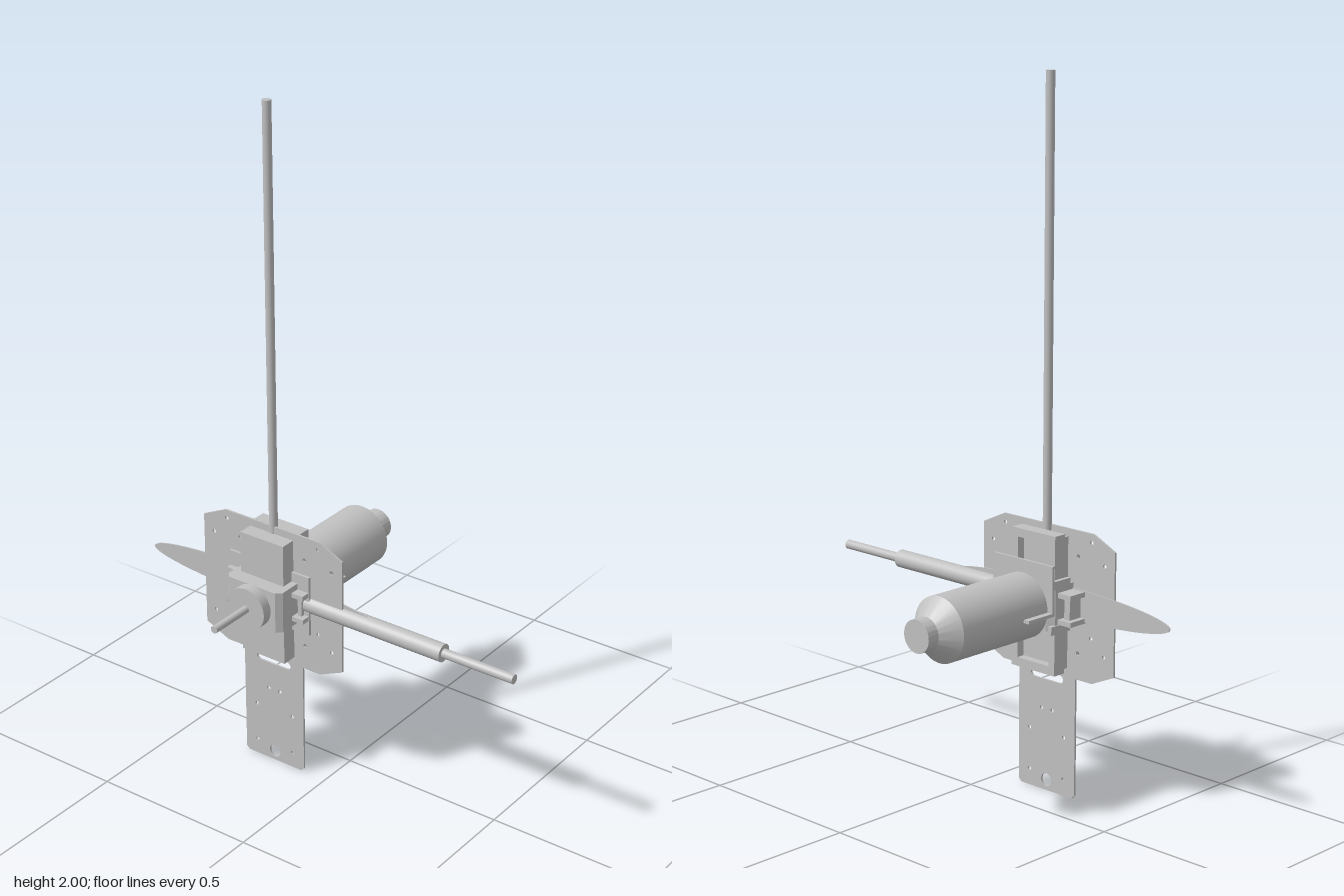
import * as THREE from 'three';
import { toCreasedNormals } from 'three/addons/utils/BufferGeometryUtils.js';

const CX = -0.18, CY = 0.562, CZ = 0.115;

export function createModel() {
  const model = new THREE.Group();
  const grey = new THREE.MeshStandardMaterial({ color: 0xc0c0c0 });
  grey.name = 'plain grey';

  const add = (name, geo, x = 0, y = 0, z = 0) => {
    const m = new THREE.Mesh(geo, grey);
    m.name = name;
    m.position.set(x, y, z);
    model.add(m);
    return m;
  };
  // box given by its limits on each axis
  const box = (name, x0, x1, y0, y1, z0, z1) =>
    add(name, new THREE.BoxGeometry(x1 - x0, y1 - y0, z1 - z0),
      (x0 + x1) / 2, (y0 + y1) / 2, (z0 + z1) / 2);
  const poly = (pts) => new THREE.Shape(pts.map(([x, y]) => new THREE.Vector2(x, y)));
  const hole = (shape, x, y, r) => {
    const p = new THREE.Path();
    p.absarc(x, y, r, 0, Math.PI * 2, true);
    shape.holes.push(p);
  };
  const extrude = (shape, depth) =>
    new THREE.ExtrudeGeometry(shape, { depth, bevelEnabled: false, curveSegments: 10 });
  const rect = (x0, x1, y0, y1) => [[x0, y0], [x1, y0], [x1, y1], [x0, y1]];

  // Main plate with chamfered corners and a tail, drawn about its centre line
  const half = [[0.095, 0], [0.105, 0.01], [0.105, 0.35], [0.165, 0.35],
    [0.243, 0.385], [0.243, 0.735], [0.165, 0.772]];
  const plate = poly([...half, ...half.map(([x, y]) => [-x, y]).reverse()]);
  for (const s of [-1, 1]) {
    for (const [x, y] of [[0.16, 0.747], [0.207, 0.69], [0.113, 0.7], [0.207, 0.435],
      [0.16, 0.477], [0.113, 0.425], [0.02, 0.238], [0.064, 0.17], [0.064, 0.048]]) {
      hole(plate, s * x, y, 0.006);
    }
  }
  hole(plate, 0, 0.03, 0.019);
  const slot = new THREE.Path();
  slot.absarc(0.048, 0.336, 0.012, -Math.PI / 2, Math.PI / 2, false);
  slot.absarc(-0.048, 0.336, 0.012, Math.PI / 2, Math.PI * 1.5, false);
  plate.holes.push(slot);
  add('mainPlate', extrude(plate, 0.006), CX, 0, 0.118);

  // Thin blade
  const blade = new THREE.Shape();
  blade.absellipse(0, 0, 0.41, 0.046, 0, Math.PI * 2);
  add('blade', toCreasedNormals(new THREE.ExtrudeGeometry(blade,
    { depth: 0.004, bevelEnabled: false, curveSegments: 32 }), 0.6), -0.21, 0.565, 0.113);

  // Mast and side arm
  add('mast', new THREE.CylinderGeometry(0.0125, 0.0125, 1.27, 24), CX, 1.365, CZ);
  const arm = (name, r, x0, x1) =>
    add(name, new THREE.CylinderGeometry(r, r, x1 - x0, 28).rotateZ(Math.PI / 2),
      (x0 + x1) / 2, CY, 0.113);
  arm('armSleeve', 0.026, -0.08, 0.395);
  arm('armRod', 0.0135, 0.395, 0.62);

  // Rear canister: cap, cone, body
  const profile = [[0, -0.386], [0.046, -0.386], [0.046, -0.35], [0.092, -0.302],
    [0.092, 0.018], [0, 0.018]].map(([r, z]) => new THREE.Vector2(r, z));
  add('canister', toCreasedNormals(
    new THREE.LatheGeometry(profile, 48).rotateX(Math.PI / 2), 0.5), CX, CY, 0);

  // Cylinders along the front axis
  const axial = (name, r, z0, z1) =>
    add(name, new THREE.CylinderGeometry(r, r, z1 - z0, 36).rotateX(Math.PI / 2),
      CX, CY, (z0 + z1) / 2);
  axial('rearCollar', 0.065, 0.015, 0.07);
  axial('frontCollar', 0.064, 0.2, 0.245);
  axial('frontShaft', 0.011, 0.24, 0.384);

  // Tall block: solid front, recessed rear channel
  box('tallBlock', -0.255, -0.105, 0.375, 0.75, 0.085, 0.17);
  const channel = poly(rect(-0.08, 0.08, 0.365, 0.76));
  for (const [y0, y1] of [[0.39, 0.475], [0.65, 0.735]]) {
    channel.holes.push(new THREE.Path(poly(rect(-0.058, 0.058, y0, y1)).getPoints()));
  }
  add('rearChannel', extrude(channel, 0.04), CX, 0, 0.06);

  // Central housing with chamfered ends, extruded upward
  const hx = [[0.075, 0.03], [0.096, 0.045], [0.096, 0.2], [0.08, 0.215]];
  const housing = poly([...hx, ...hx.map(([x, z]) => [-x, z]).reverse()]);
  add('housing', extrude(housing, 0.125).rotateX(Math.PI / 2).translate(0, 0.125, 0),
    CX, 0.5, 0);

  // Mounting flange in front of the main plate
  const flange = poly([[-0.145, -0.037], [-0.145, 0.037], [-0.145, 0.092], [0.135, 0.092],
    [0.135, -0.092], [-0.145, -0.092]]);
  add('mountFlange', extrude(flange, 0.008), CX, CY, 0.125);

  // Side clips: paired rails joined by a web
  for (const [side, x0, x1, z0, z1] of [['right', -0.322, -0.27, 0.055, 0.15],
    ['left', -0.09, -0.046, 0.08, 0.16]]) {
    for (const y of [0.525, 0.6]) {
      box(side + 'ClipRail', x0, x1, y - 0.007, y + 0.007, z0, z1);
    }
    box(side + 'ClipWeb', x0 + 0.016, x1 - 0.016, 0.525, 0.6, z0 + 0.015, z1 - 0.015);
  }
  for (const x of [-0.28, -0.09]) {
    for (const y of [0.505, 0.63]) {
      box('rearLug', x, x + 0.012, y - 0.012, y + 0.012, 0.025, 0.1);
    }
  }

  // Angle bracket around the canister mouth
  box('bracketUpright', -0.29, -0.07, 0.55, 0.69, 0.018, 0.026);
  box('bracketShelf', -0.29, -0.07, 0.55, 0.559, -0.075, 0.026);

  return model;
}
